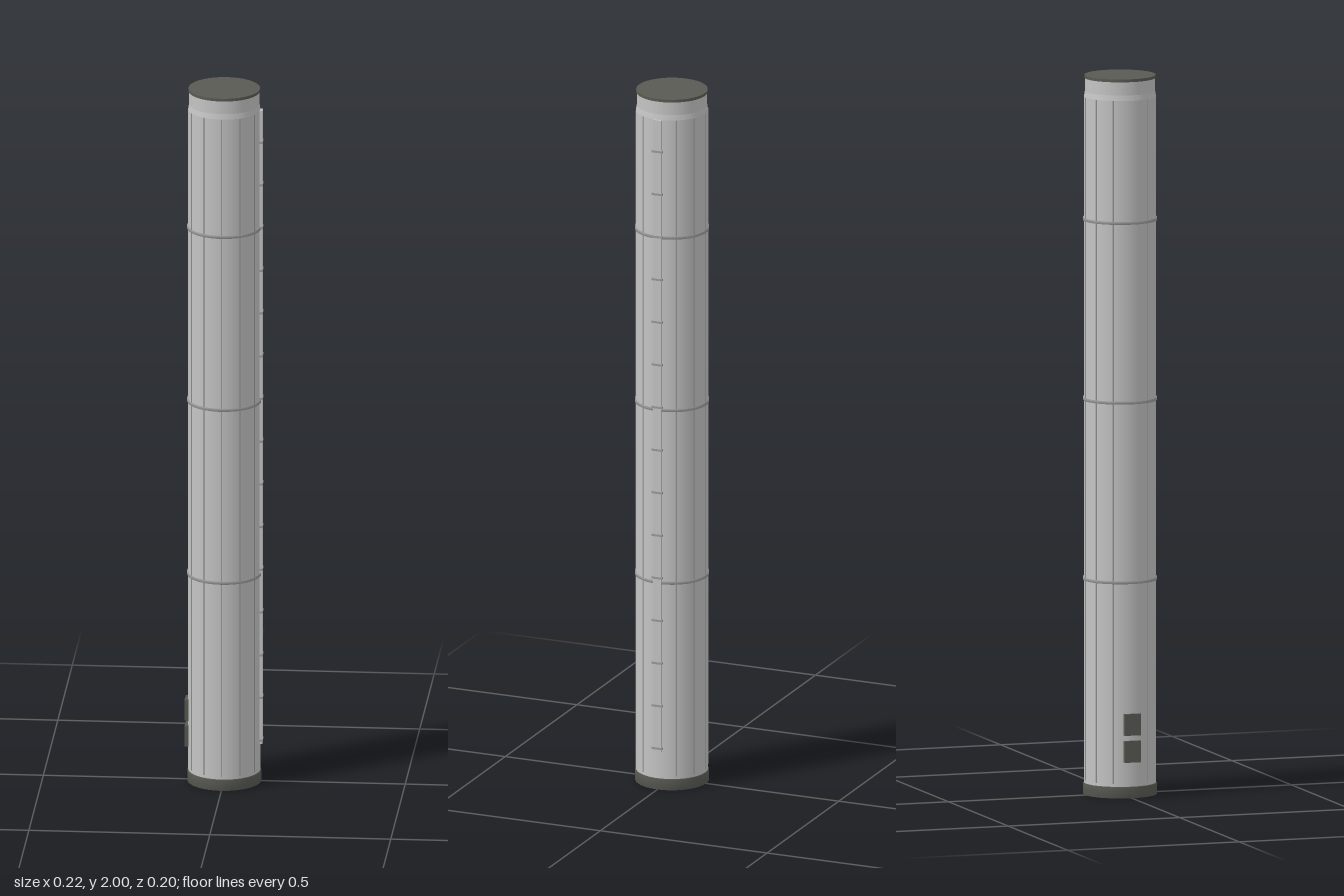
import * as THREE from 'three';

const mat = (name, color, side = THREE.FrontSide) => {
  const m = new THREE.MeshStandardMaterial({ color, side });
  m.name = name;
  return m;
};

export function createModel() {
  const group = new THREE.Group();
  const shell = mat('shell grey', 0xc4c4c4);
  const trim = mat('trim grey', 0x9a9a9a);
  const dark = mat('dark grey', 0x5a5a54, THREE.DoubleSide);

  const add = (name, geometry, material, x = 0, y = 0, z = 0, parent = group) => {
    const mesh = new THREE.Mesh(geometry, material);
    mesh.name = name;
    mesh.position.set(x, y, z);
    parent.add(mesh);
    return mesh;
  };
  const lathe = (pts) => new THREE.LatheGeometry(pts.map(p => new THREE.Vector2(...p)), 64);
  const tube = (r, h) => new THREE.CylinderGeometry(r, r, h, 64, 1, true);

  // Long tank, tapered shoulder and narrower neck
  add('tank', tube(0.0995, 1.91), shell, 0, 0.985);
  add('shoulder', lathe([[0.0995, 1.94], [0.097, 1.955]]), shell);
  add('neck', lathe([[0.097, 1.955], [0.097, 1.992]]), shell);
  add('topRim', tube(0.0985, 0.008), dark, 0, 1.996);
  add('topCap', new THREE.CircleGeometry(0.0985, 64).rotateX(-Math.PI / 2), dark, 0, 2);

  // Thin joint hoops
  for (const y of [0.6, 1.1, 1.6]) {
    add('jointHoop', lathe([[0.099, y - 0.004], [0.1025, y - 0.004], [0.1025, y + 0.004], [0.099, y + 0.004]]), trim);
  }

  // Slim vertical stringers around the tank, skipping the two side fittings
  for (let i = 0; i < 12; i++) {
    if (i % 6 === 0) continue;
    const a = i * Math.PI / 6;
    const s = add('stringer', new THREE.BoxGeometry(0.003, 1.9, 0.003), trim,
      Math.cos(a) * 0.0995, 0.99, Math.sin(a) * 0.0995);
    s.rotation.y = -a;
  }

  // Cable raceway with clips on the left side
  add('raceway', new THREE.BoxGeometry(0.012, 1.83, 0.024), shell, 0.1, 1.025);
  for (let i = 0; i < 15; i++) {
    add('racewayClip', new THREE.BoxGeometry(0.012, 0.006, 0.031), trim, 0.101, 0.12 + i * 0.1235);
  }

  // Two service panels low on the right side
  for (const y of [0.13, 0.205]) {
    add('servicePanel', new THREE.BoxGeometry(0.013, 0.06, 0.046), dark, -0.1015, y);
  }

  // Hollow skirt with a recessed cone, centre plate and radial ribs
  add('baseRing', lathe([[0.094, 0], [0.102, 0], [0.102, 0.03], [0.0995, 0.032]]), dark);
  add('baseRecess', lathe([[0.094, 0], [0.09, 0.03], [0.058, 0.075]]), dark);
  add('recessPlate', new THREE.CircleGeometry(0.058, 48).rotateX(Math.PI / 2), trim, 0, 0.075);
  for (let i = 0; i < 8; i++) {
    const holder = new THREE.Group();
    holder.name = 'recessRib';
    holder.rotation.y = (i + 0.5) * Math.PI / 4;
    const rib = add('rib', new THREE.BoxGeometry(0.052, 0.008, 0.005), dark, 0.073, 0.05, 0, holder);
    rib.rotation.z = -0.95;
    group.add(holder);
  }
  return group;
}
